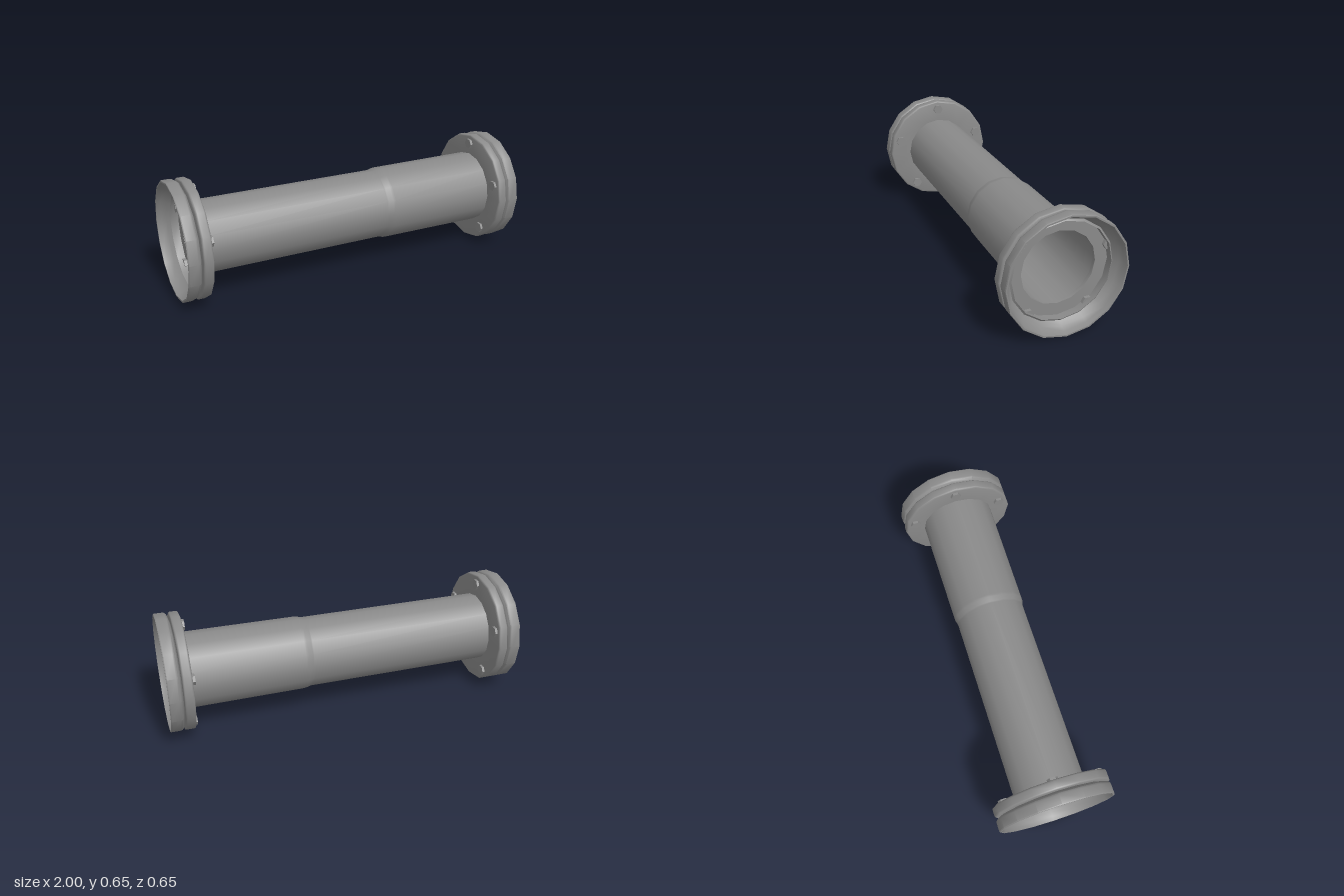
import * as THREE from 'three';
import { toCreasedNormals } from 'three/addons/utils/BufferGeometryUtils.js';

const SIDES = 16;
const AXIS_Y = 0.326;
const BORE = 0.198;
const metal = new THREE.MeshStandardMaterial({ color: 0x8a8a8a, side: THREE.DoubleSide });

// Turns a [radius, x] profile around the x axis
function turned(profile) {
  const points = profile.map(([r, x]) => new THREE.Vector2(r, x));
  return new THREE.LatheGeometry(points, SIDES).rotateZ(-Math.PI / 2);
}

function part(name, geometry) {
  const mesh = new THREE.Mesh(geometry, metal);
  mesh.name = name;
  return mesh;
}

// End assembly facing +x: recessed plate, flared collar and five hex bolts
function createFlange(name) {
  const flange = new THREE.Group();
  flange.name = name;

  const plate = turned([
    [BORE, 0.868], [0.316, 0.868], [0.321, 0.8695], [0.3245, 0.873], [0.326, 0.878],
    [0.326, 0.912], [0.3245, 0.917], [0.321, 0.9205], [0.316, 0.922],
    [0.27, 0.922], [0.27, 0.89], [BORE, 0.89], [BORE, 0.868],
  ]);
  flange.add(part('flangePlate', toCreasedNormals(plate, 0.6)));

  // The collar flares outward from a small raised lip
  const collar = turned([
    [0.268, 0.921], [0.295, 0.926], [0.314, 0.932], [0.323, 0.94], [0.326, 0.95],
    [0.326, 0.995], [0.323, 1], [0.315, 1], [0.309, 0.975], [0.295, 0.948],
    [0.275, 0.925], [0.265, 0.933], [0.265, 0.89],
  ]);
  flange.add(part('flaredCollar', toCreasedNormals(collar, 0.6)));

  for (let i = 0; i < 5; i++) {
    const angle = Math.PI / 2 + (i * Math.PI * 2) / 5;
    const hex = new THREE.CylinderGeometry(0.03, 0.03, 0.055, 6).rotateZ(Math.PI / 2);
    const bolt = part('hexBolt', toCreasedNormals(hex, 0.5));
    bolt.position.set(0.881, Math.sin(angle) * 0.273, Math.cos(angle) * 0.273);
    flange.add(bolt);
  }
  return flange;
}

export function createModel() {
  const model = new THREE.Group();
  model.name = 'flangedPipe';
  const body = new THREE.Group();
  body.name = 'pipeAssembly';
  body.position.y = AXIS_Y;
  model.add(body);

  // Thin pipe that widens slightly past the middle
  body.add(part('pipe', turned([
    [BORE, -0.87], [BORE, 0.19], [0.199, 0.2], [0.206, 0.225], [0.207, 0.24], [0.21, 0.87],
  ])));

  const left = createFlange('leftFlange');
  const right = createFlange('rightFlange');
  right.rotation.y = Math.PI;
  body.add(left, right);
  return model;
}
